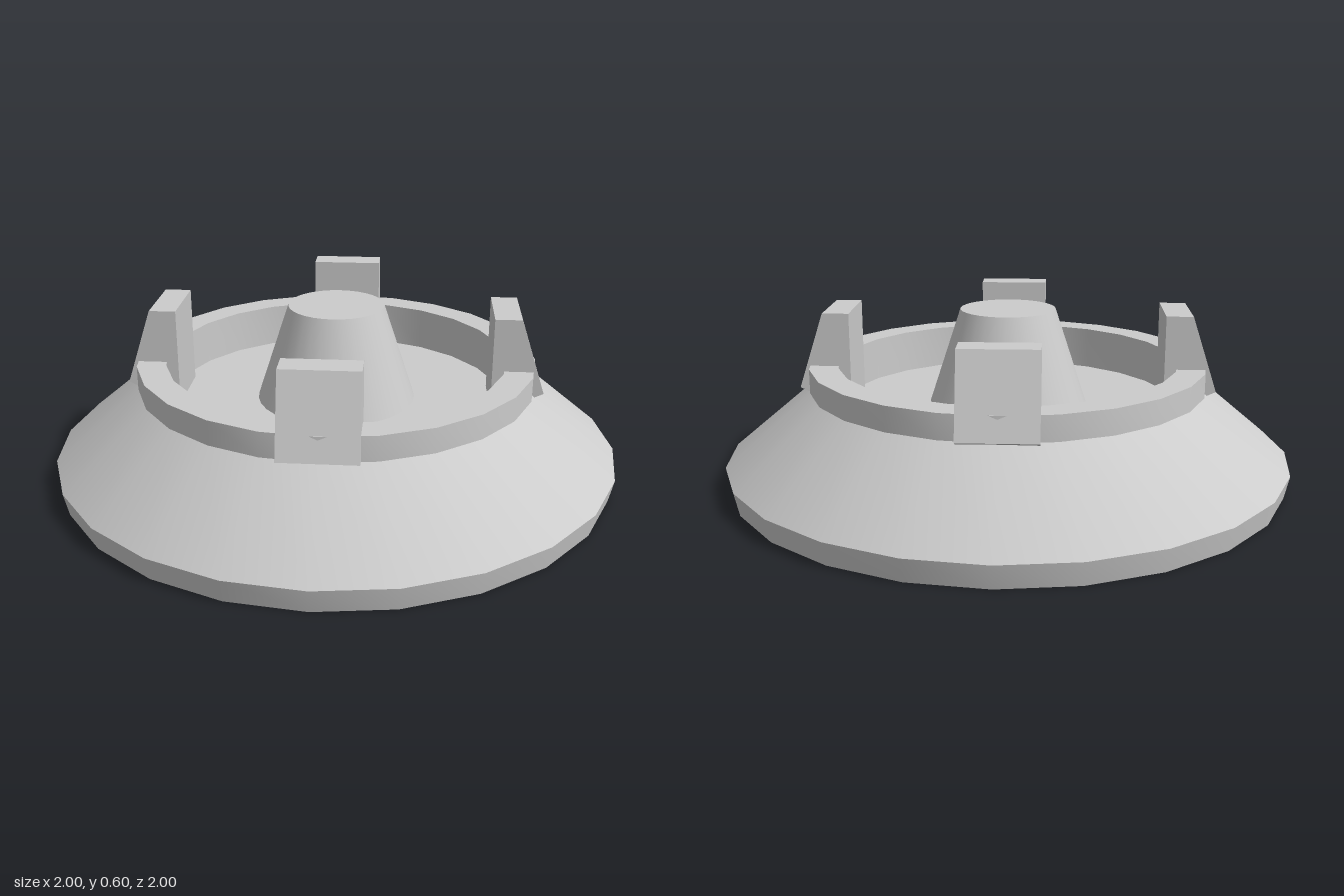
import * as THREE from 'three';
import { toCreasedNormals } from 'three/addons/utils/BufferGeometryUtils.js';

const material = new THREE.MeshStandardMaterial({ color: 0xcccccc });

function addMesh(parent, name, geometry) {
  const mesh = new THREE.Mesh(geometry, material);
  mesh.name = name;
  parent.add(mesh);
  return mesh;
}

// Solid of revolution, smooth around and sharp at the profile corners
function turned(profile, segments) {
  const points = profile.map(([r, y]) => new THREE.Vector2(r, y));
  return toCreasedNormals(new THREE.LatheGeometry(points, segments), 0.42);
}

export function createModel() {
  const model = new THREE.Group();
  model.name = 'flaredBase';

  const floorY = 0.26;

  // Flared body with rim, raised collar and recessed floor
  addMesh(model, 'body', turned([
    [0, 0], [0.983, 0], [1, 0.08], [0.7, 0.33], [0.7, 0.415],
    [0.6, 0.415], [0.6, floorY], [0, floorY],
  ], 24));

  // Tapered centre post standing on the recessed floor
  addMesh(model, 'centrePost', turned([
    [0.28, floorY], [0.168, 0.6], [0, 0.6],
  ], 32));

  // Four wedge lugs gripping the collar, sloped on the outside
  const width = 0.254;
  const section = new THREE.Shape([
    [0.543, floorY], [0.68, floorY], [0.692, 0.323], [0.722, 0.337],
    [0.635, 0.6], [0.543, 0.6],
  ].map(([x, y]) => new THREE.Vector2(x, y)));
  const lugGeometry = new THREE.ExtrudeGeometry(section, { depth: width, bevelEnabled: false });
  lugGeometry.translate(0, 0, -width / 2);

  ['leftLug', 'backLug', 'rightLug', 'frontLug'].forEach((name, i) => {
    addMesh(model, name, lugGeometry).rotation.y = (i * Math.PI) / 2;
  });

  return model;
}
